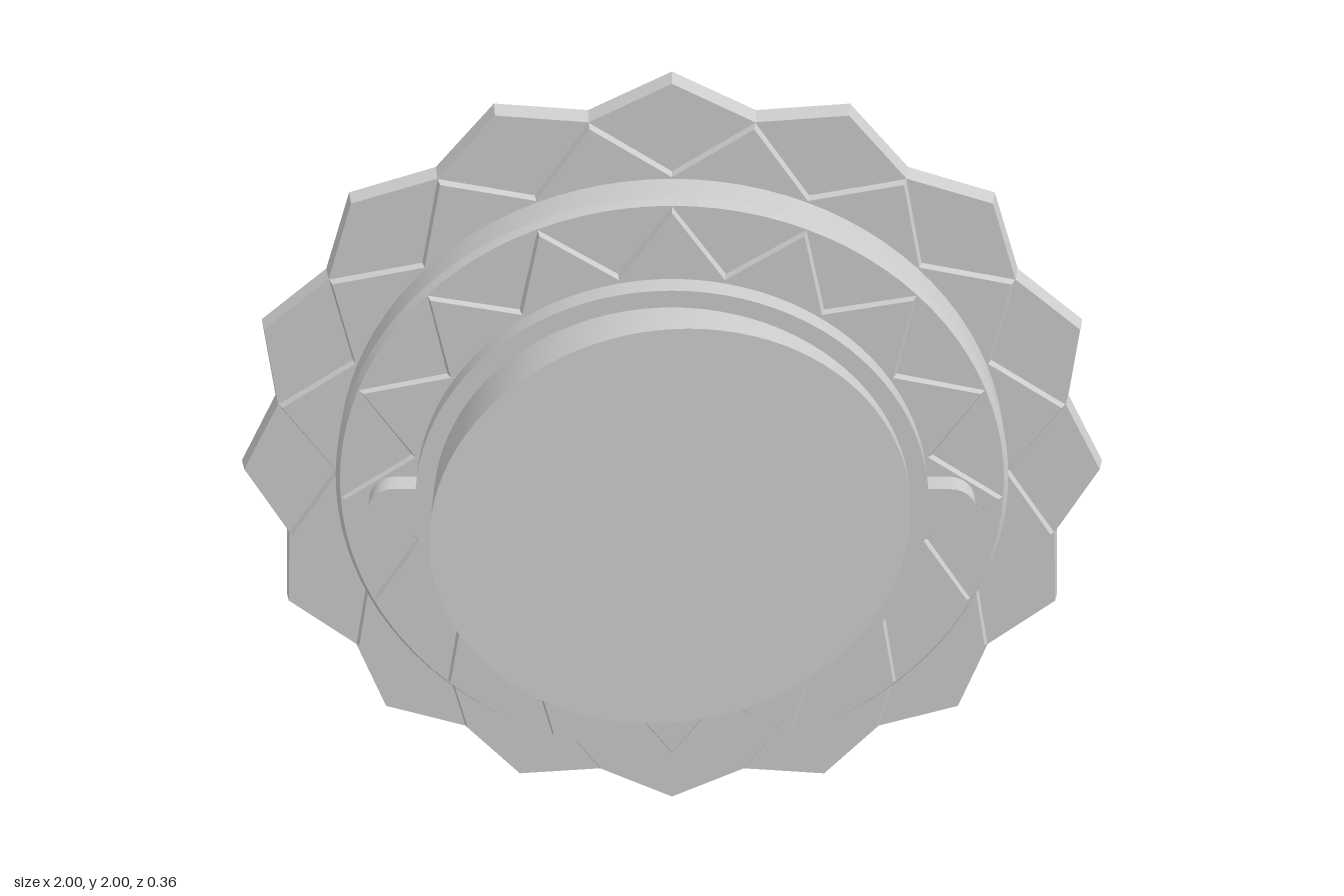
import * as THREE from 'three';
import { toCreasedNormals } from 'three/addons/utils/BufferGeometryUtils.js';

// Contours are counter-clockwise lists of points around the origin
const polar = (r, a, cx = 0) => new THREE.Vector2(cx + r * Math.cos(a), r * Math.sin(a));

function circle(r, n = 96) {
  return Array.from({ length: n }, (_, i) => polar(r, (i / n) * Math.PI * 2));
}

// Sixteen-pointed star; shift = 1 turns it by half a point
function star(rTip, rValley, shift = 0) {
  return Array.from({ length: 32 }, (_, i) =>
    polar((i + shift) % 2 === 0 ? rTip : rValley, (i / 32) * Math.PI * 2));
}

// Circle with a rounded tab on each side
function tabbedCircle(r, tabR, tabX) {
  const a = Math.asin(tabR / r), points = [];
  for (const side of [0, Math.PI]) {
    for (let i = 0; i <= 12; i++) {
      const t = side - Math.PI / 2 + (i / 12) * Math.PI;
      points.push(polar(tabR, t, side ? -tabX : tabX));
    }
    for (let i = 0; i <= 44; i++) points.push(polar(r, side + a + (i / 44) * (Math.PI - 2 * a)));
  }
  return points;
}

// Strip joining a rear contour to a front contour; depth is a function of x
function wall(rear, zRear, front, zFront) {
  const n = rear.length, pos = [], index = [];
  for (let i = 0; i < n; i++) {
    pos.push(rear[i].x, rear[i].y, zRear(rear[i].x));
    pos.push(front[i].x, front[i].y, zFront(front[i].x));
    const a = 2 * i, b = 2 * ((i + 1) % n);
    index.push(a, b, b + 1, a, b + 1, a + 1);
  }
  const g = new THREE.BufferGeometry();
  g.setAttribute('position', new THREE.Float32BufferAttribute(pos, 3));
  g.setIndex(index);
  return toCreasedNormals(g, 0.4);
}

// Thin face filling a contour, with an optional opening
function plate(outer, z, hole) {
  const shape = new THREE.Shape(outer);
  if (hole) shape.holes.push(new THREE.Path(hole));
  const g = new THREE.ShapeGeometry(shape);
  const p = g.attributes.position;
  for (let i = 0; i < p.count; i++) p.setZ(i, z(p.getX(i)));
  g.computeVertexNormals();
  return g;
}

export function createModel() {
  const group = new THREE.Group();
  const material = new THREE.MeshStandardMaterial({ color: 0xcccccc, side: THREE.DoubleSide });
  const add = (name, geometry) => {
    const mesh = new THREE.Mesh(geometry, material);
    mesh.name = name;
    mesh.position.y = 1;
    group.add(mesh);
  };
  const at = (z) => () => z;
  const slant = (x) => 0.12 - 0.111 * x;

  const middleBase = star(0.78, 0.915, 0), middleTop = star(0.772, 0.905, 0);
  const ring = circle(0.768), ringTop = circle(0.757);
  const innerBase = star(0.755, 0.6), innerTop = star(0.745, 0.59);
  const collar = tabbedCircle(0.582, 0.063, 0.627);
  const drum = circle(0.54);

  // Outer star rim, open at the back
  const outerTop = star(0.99, 0.916);
  add('outerStarWall', wall(star(1, 0.926), at(-0.18), outerTop, at(-0.142)));
  add('outerStarFace', plate(outerTop, at(-0.142), middleBase));

  // Middle star, turned by half a point
  add('middleStarWall', wall(middleBase, at(-0.142), middleTop, at(-0.13)));
  add('middleStarFace', plate(middleTop, at(-0.13), ring));

  // Round step with a bevelled front edge
  add('ringWall', wall(ring, at(-0.13), ring, at(-0.045)));
  add('ringBevel', wall(ring, at(-0.045), ringTop, at(-0.03)));
  add('ringFace', plate(ringTop, at(-0.03), innerBase));

  // Inner star
  add('innerStarWall', wall(innerBase, at(-0.03), innerTop, at(-0.02)));
  add('innerStarFace', plate(innerTop, at(-0.02), collar));

  // Collar with two side tabs
  add('collarWall', wall(collar, at(-0.02), collar, at(0.03)));
  add('collarFace', plate(collar, at(0.03), drum));

  // Drum closed by a slanted disc
  add('drumWall', wall(drum, at(0.03), drum, slant));
  add('drumFace', plate(drum, slant));

  return group;
}
